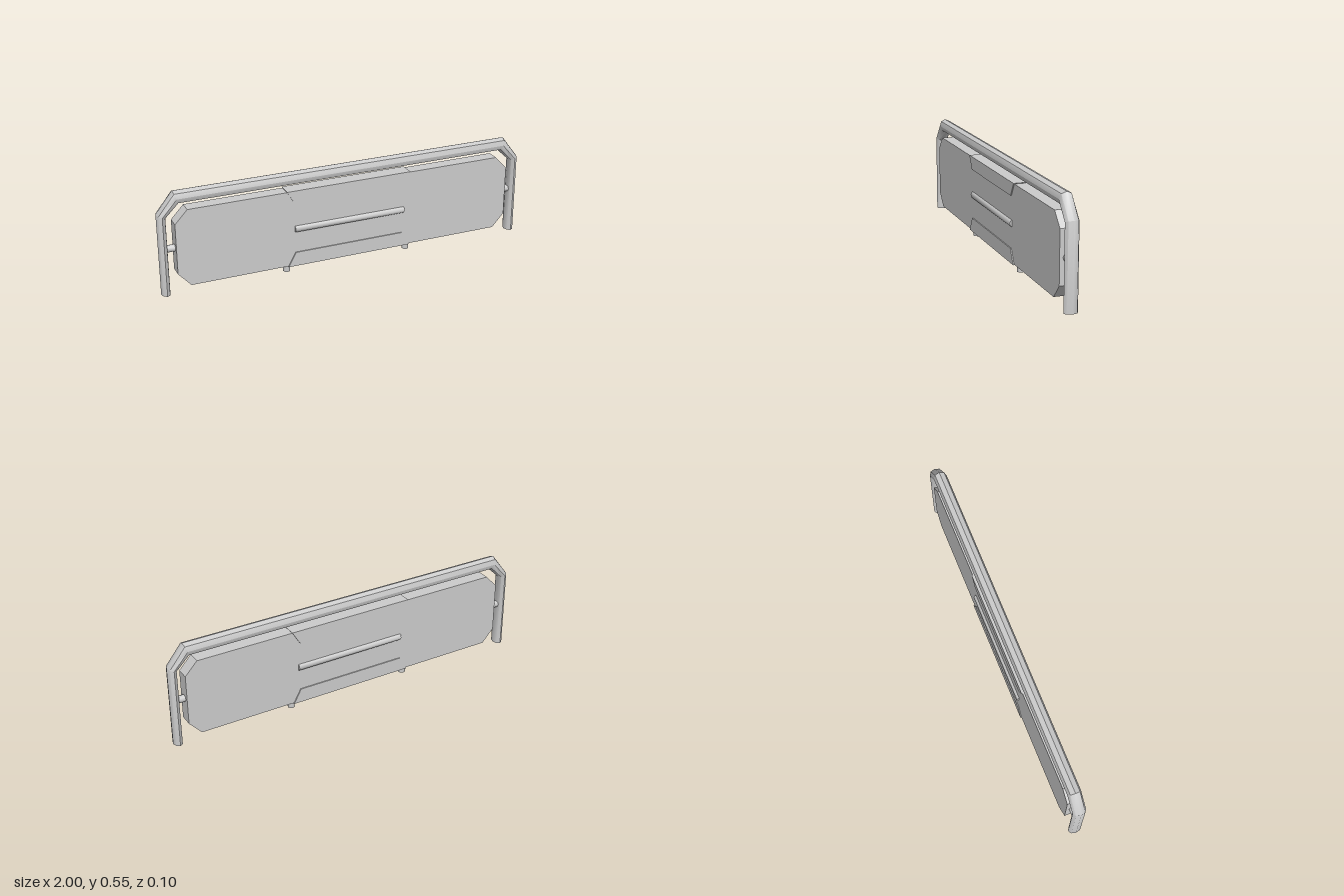
import * as THREE from 'three';
import { toCreasedNormals } from 'three/addons/utils/BufferGeometryUtils.js';

const grey = new THREE.MeshStandardMaterial({ color: 0xcccccc });

function add(group, name, geometry, x = 0, y = 0, z = 0) {
  const mesh = new THREE.Mesh(geometry, grey);
  mesh.name = name;
  mesh.position.set(x, y, z);
  group.add(mesh);
  return mesh;
}

// Flat outline extruded symmetrically about z = 0
function slab(points, depth) {
  const shape = new THREE.Shape(points.map(([x, y]) => new THREE.Vector2(x, y)));
  const geometry = new THREE.ExtrudeGeometry(shape, { depth, bevelEnabled: false });
  return geometry.translate(0, 0, -depth / 2);
}

// Eight-sided bar mitred at each bend; a station is [x, y, outward dx, outward dy]
function mitredBar(stations, halfDepth) {
  const sides = 8;
  const pos = [];
  const index = [];
  for (const [x, y, dx, dy] of stations) {
    for (let j = 0; j < sides; j++) {
      const a = (j / sides) * Math.PI * 2;
      pos.push(x + dx * Math.cos(a), y + dy * Math.cos(a), halfDepth * Math.sin(a));
    }
  }
  for (let i = 0; i < stations.length - 1; i++) {
    for (let j = 0; j < sides; j++) {
      const k = (j + 1) % sides;
      const a = i * sides + j, b = i * sides + k;
      index.push(a, a + sides, b, b, a + sides, b + sides);
    }
  }
  // End caps
  const last = (stations.length - 1) * sides;
  for (let j = 1; j < sides - 1; j++) {
    index.push(0, j, j + 1, last, last + j + 1, last + j);
  }
  const geometry = new THREE.BufferGeometry();
  geometry.setAttribute('position', new THREE.Float32BufferAttribute(pos, 3));
  geometry.setIndex(index);
  return toCreasedNormals(geometry, 0.76);
}

function rod(radius, length) {
  return toCreasedNormals(new THREE.CylinderGeometry(radius, radius, length, 8), 0.87);
}

export function createModel() {
  const model = new THREE.Group();
  model.name = 'barrier';

  // Bent frame, from the foot on +x over to the foot on -x
  const half = [
    [0.9765, 0, 0.0235, 0],
    [0.9765, 0.423, 0.0235, 0.0095],
    [0.9, 0.51, 0.013, 0.035],
  ];
  const mirrored = half.map(([x, y, dx, dy]) => [-x, y, -dx, dy]).reverse();
  add(model, 'frame', mitredBar([...half, ...mirrored], 0.035));

  // Everything hung inside the frame sits slightly off centre
  const board = new THREE.Group();
  board.name = 'board';
  board.position.x = 0.003;
  model.add(board);

  // Panel with cut corners
  add(board, 'panel', slab([
    [-0.855, 0.04], [0.855, 0.04], [0.92, 0.112], [0.92, 0.38],
    [0.855, 0.449], [-0.855, 0.449], [-0.92, 0.38], [-0.92, 0.112],
  ], 0.07));

  // Clasps wrapped over the panel's upper and lower edges
  add(board, 'upperClasp', slab([[-0.3, 0.382], [0.3, 0.382], [0.342, 0.453], [-0.342, 0.453]], 0.081));
  add(board, 'lowerClasp', slab([[-0.342, 0.037], [0.342, 0.037], [0.3, 0.113], [-0.3, 0.113]], 0.081));

  // Raised bars on both faces
  for (const s of [1, -1]) {
    const bar = add(board, s > 0 ? 'frontBar' : 'backBar', rod(0.02, 0.61), 0.004, 0.242, s * 0.028);
    bar.rotation.z = Math.PI / 2;
  }

  // Side pins joining the panel to the frame, and short feet below it
  for (const s of [1, -1]) {
    const side = s > 0 ? 'left' : 'right';
    const pin = add(board, side + 'Pin', rod(0.019, 0.07), s * 0.94, 0.243, 0);
    pin.rotation.z = Math.PI / 2;
    add(board, side + 'Foot', rod(0.019, 0.05), s * 0.339, 0.025, 0);
  }

  return model;
}
